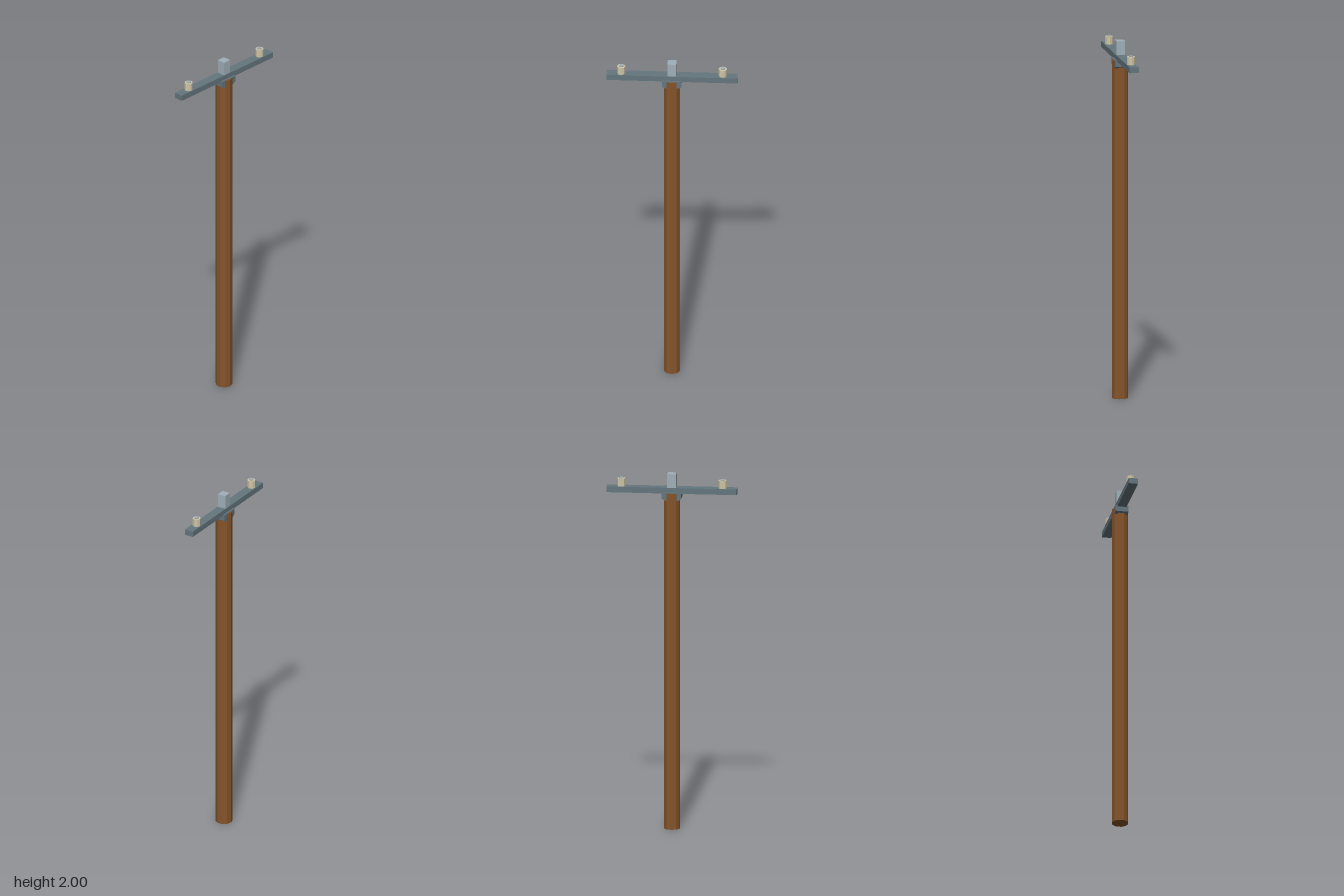
import * as THREE from 'three';

const material = (color) => new THREE.MeshStandardMaterial({ color, flatShading: true });

export function createModel() {
  const model = new THREE.Group();
  const wood = material(0x85552b);
  const steel = material(0x64767e);
  const paleSteel = material(0x9fb0b8);
  const ceramic = material(0xcfc6a6);

  const add = (name, geometry, mat, x, y, z) => {
    const mesh = new THREE.Mesh(geometry, mat);
    mesh.name = name;
    mesh.position.set(x, y, z);
    model.add(mesh);
  };
  // Upright prism standing on y0
  const prism = (name, radius, y0, y1, sides, mat, x = 0) =>
    add(name, new THREE.CylinderGeometry(radius, radius, y1 - y0, sides), mat, x, (y0 + y1) / 2, 0);
  // Box centred on the pole axis
  const box = (name, w, y0, y1, d, mat) =>
    add(name, new THREE.BoxGeometry(w, y1 - y0, d), mat, 0, (y0 + y1) / 2, 0);

  // Ten-sided wooden pole
  prism('pole', 0.046, 0, 1.893, 10, wood);

  // Mounting bracket clasping the pole top, with bevelled lower corners
  const outline = new THREE.Shape([
    [-0.053, 1.897], [-0.053, 1.863], [-0.038, 1.853],
    [0.038, 1.853], [0.053, 1.863], [0.053, 1.897],
  ].map(([x, y]) => new THREE.Vector2(x, y)));
  add('bracket', new THREE.ExtrudeGeometry(outline, { depth: 0.072, bevelEnabled: false }),
    steel, 0, 0, -0.036);

  // Crossarm and central post
  box('crossarm', 0.718, 1.891, 1.923, 0.052, steel);
  box('topPost', 0.048, 1.915, 2, 0.048, paleSteel);

  // Insulators with a small pin showing through the top
  for (const [side, x] of [['left', 0.279], ['right', -0.279]]) {
    prism(side + 'Insulator', 0.023, 1.92, 1.967, 8, ceramic, x);
    prism(side + 'InsulatorPin', 0.0125, 1.92, 1.972, 8, paleSteel, x);
  }

  return model;
}
